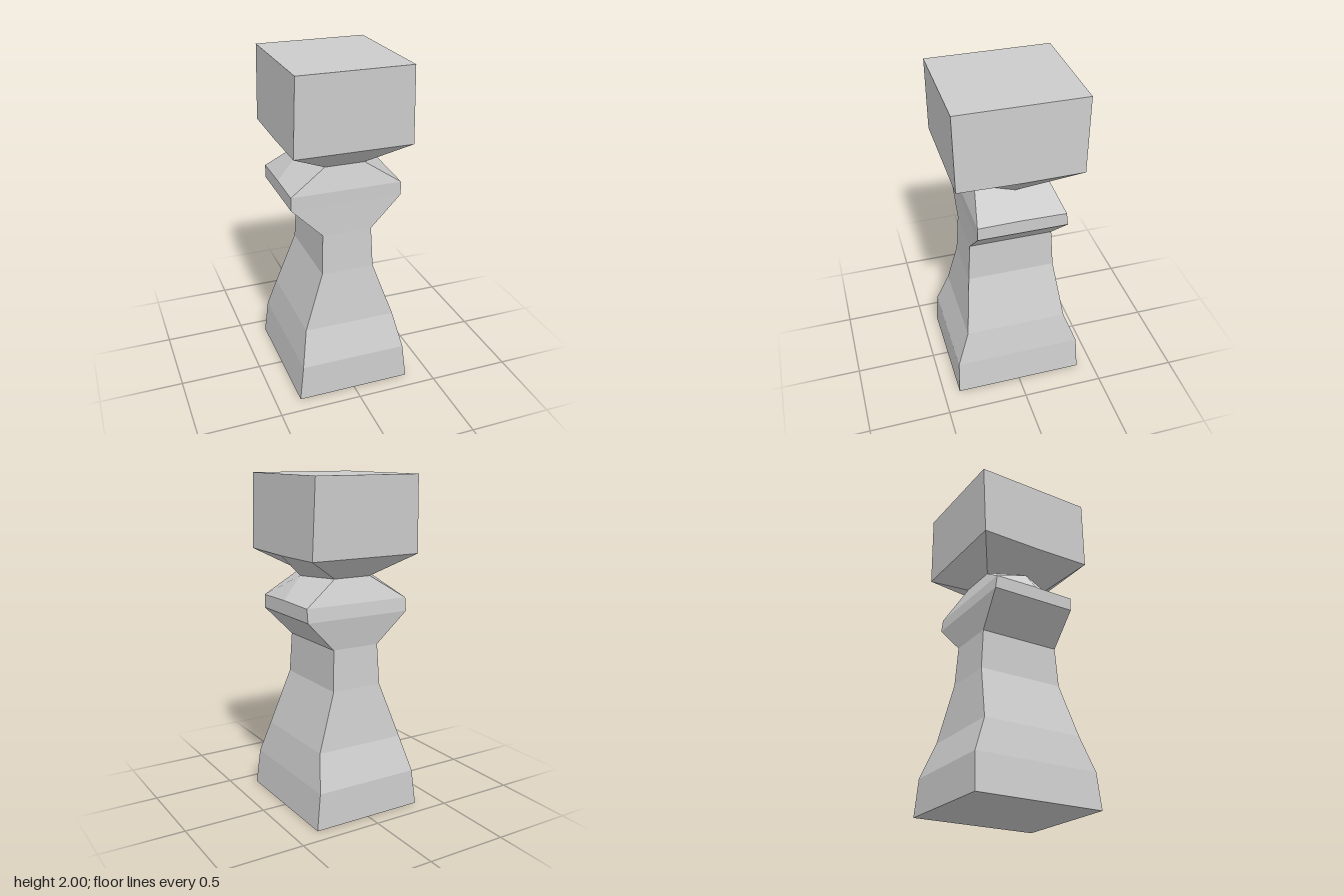
import * as THREE from 'three';

// Each ring: y, corner half width, side-middle half width, front z, back z, side-middle y offset
const rings = [
  [0, 0.35, 0.35, 0.4, -0.4, 0],
  [0.22, 0.325, 0.325, 0.39, -0.39, 0],
  [0.43, 0.28, 0.28, 0.315, -0.31, 0],
  [0.77, 0.16, 0.16, 0.27, -0.265, 0],
  [1.015, 0.15, 0.15, 0.255, -0.25, 0],
  [1.2, 0.335, 0.335, 0.25, -0.28, 0],
  [1.28, 0.335, 0.335, 0.25, -0.27, 0.004],
  [1.42, 0.12, 0.225, 0.21, -0.21, 0],
  [1.55, 0.35, 0.35, 0.365, -0.36, -0.005],
  [2, 0.335, 0.335, 0.37, -0.37, 0],
];

// Six points running front left, front right, round the back
function ringPoints([y, c, m, f, b, dy]) {
  return [[-c, y, f], [c, y, f], [m, y + dy, 0], [c, y, b], [-c, y, b], [-m, y + dy, 0]]
    .map((p) => new THREE.Vector3(...p));
}

// Loft between rings with one flat normal per panel
function loft(list, capBottom, capTop) {
  const pos = [], nor = [];
  const quad = (a, b, c, d) => {
    const n = c.clone().sub(a).cross(d.clone().sub(b)).normalize();
    for (const p of [a, b, c, a, c, d]) {
      pos.push(p.x, p.y, p.z);
      nor.push(n.x, n.y, n.z);
    }
  };
  const r = list.map(ringPoints);
  for (let k = 0; k + 1 < r.length; k++) {
    for (let i = 0; i < 6; i++) {
      const j = (i + 1) % 6;
      quad(r[k][i], r[k][j], r[k + 1][j], r[k + 1][i]);
    }
  }
  const cap = (p) => {
    quad(p[0], p[1], p[2], p[5]);
    quad(p[5], p[2], p[3], p[4]);
  };
  if (capBottom) cap([...r[0]].reverse());
  if (capTop) cap(r[r.length - 1]);
  const g = new THREE.BufferGeometry();
  g.setAttribute('position', new THREE.Float32BufferAttribute(pos, 3));
  g.setAttribute('normal', new THREE.Float32BufferAttribute(nor, 3));
  return g;
}

export function createModel() {
  const group = new THREE.Group();
  group.name = 'chessPiece';
  const material = new THREE.MeshStandardMaterial({ color: 0xcccccc });
  const add = (name, from, to, bottom, top) => {
    const mesh = new THREE.Mesh(loft(rings.slice(from, to + 1), bottom, top), material);
    mesh.name = name;
    group.add(mesh);
  };
  add('base', 0, 2, true, false);
  add('stem', 2, 4, false, false);
  add('collar', 4, 7, false, false);
  add('head', 7, 9, false, true);
  return group;
}
